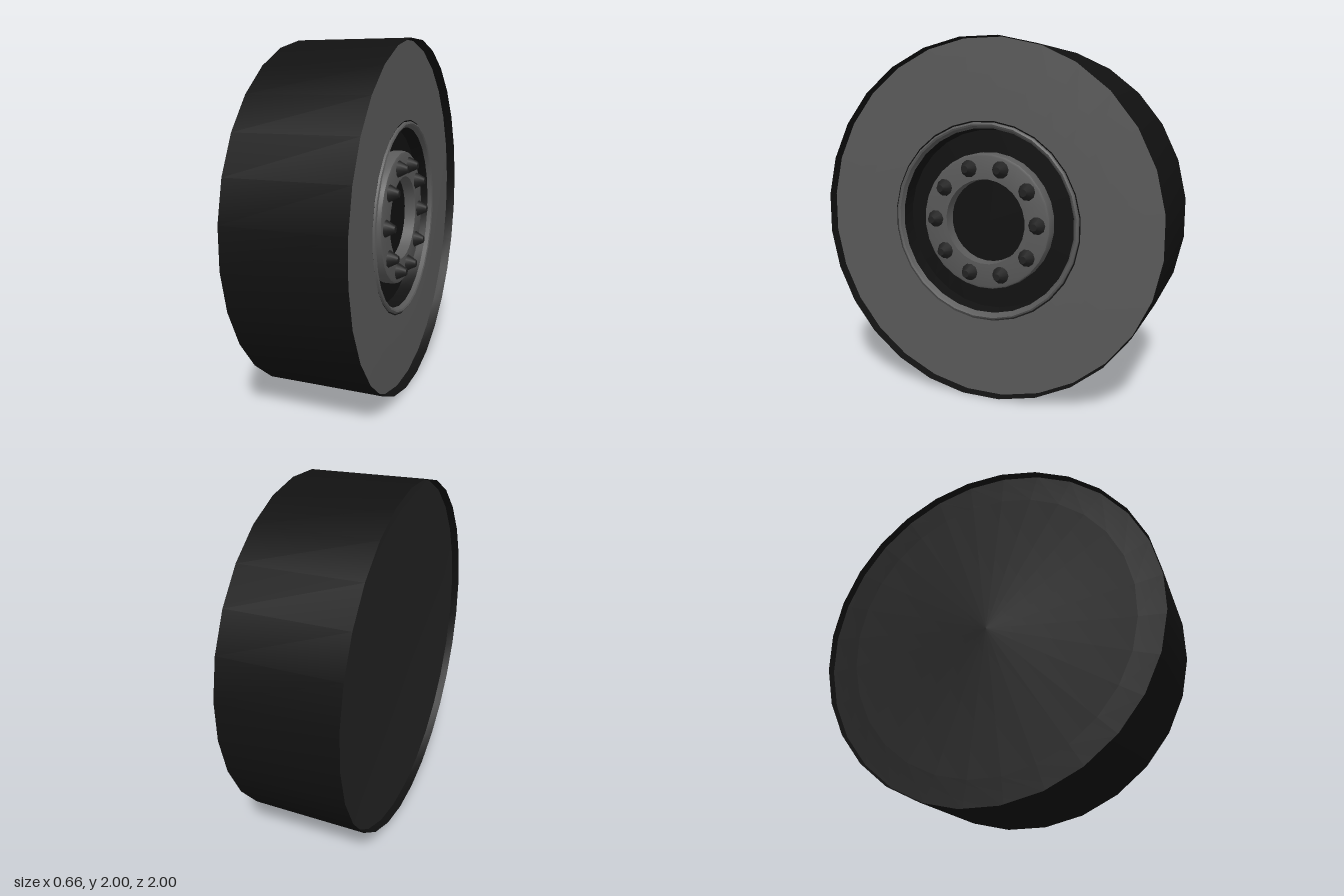
import * as THREE from 'three';
import { toCreasedNormals } from 'three/addons/utils/BufferGeometryUtils.js';

const SIDES = 28;
const BOLTS = 10;

const black = new THREE.MeshStandardMaterial({ color: 0x111111, side: THREE.DoubleSide });
const dark = new THREE.MeshStandardMaterial({ color: 0x222222, side: THREE.DoubleSide });
const grey = new THREE.MeshStandardMaterial({ color: 0x5a5a5a, side: THREE.DoubleSide });

// Revolves a profile of [radius, x] pairs around the axle
function ring(name, profile, material, sides = SIDES) {
  const points = profile.map(([r, x]) => new THREE.Vector2(r, x));
  const geometry = new THREE.LatheGeometry(points, sides, Math.PI / sides);
  geometry.rotateZ(-Math.PI / 2);
  const mesh = new THREE.Mesh(toCreasedNormals(geometry, 0.6), material);
  mesh.name = name;
  return mesh;
}

export function createModel() {
  const wheel = new THREE.Group();
  wheel.name = 'wheel';
  wheel.position.y = 1;

  // Tyre: wide tread band with both side faces set in from its edges
  const flat = Math.cos(Math.PI / SIDES);
  const R = 1 / flat;
  const inner = 0.996 / flat;
  wheel.add(
    ring('tread', [[inner, -0.275], [R, -0.33], [R, 0.33], [inner, 0.275]], black),
    ring('outerSidewall', [[inner, 0.275], [0.75, 0.28], [0.56, 0.28]], grey),
    ring('innerSidewall', [[0, -0.275], [0.85, -0.275], [inner, -0.285]], dark)
  );

  // Rim: rounded lip around a dark, sunken channel
  wheel.add(
    ring('rimGroove', [[0.562, 0.281], [0.552, 0.276]], black),
    ring('rimLip', [[0.555, 0.275], [0.552, 0.289], [0.543, 0.294], [0.533, 0.289], [0.52, 0.265]], grey),
    ring('rimChannel', [[0.52, 0.265], [0.51, 0.19], [0.385, 0.19]], black)
  );

  // Hub: raised ring with a softened edge and a dark centre
  wheel.add(
    ring('hubRing', [[0.385, 0.19], [0.385, 0.25], [0.38, 0.26], [0.368, 0.265], [0.24, 0.265], [0.235, 0.2]], grey),
    ring('hubCentre', [[0.236, 0.2], [0, 0.2]], black)
  );

  // Tapered wheel nuts spaced evenly on the hub ring
  const nutGeometry = new THREE.CylinderGeometry(0.02, 0.052, 0.06, 10);
  nutGeometry.rotateZ(-Math.PI / 2);
  for (let i = 0; i < BOLTS; i++) {
    const a = (i / BOLTS) * Math.PI * 2;
    const nut = new THREE.Mesh(nutGeometry, dark);
    nut.name = 'wheelNut';
    nut.position.set(0.29, Math.sin(a) * 0.31, Math.cos(a) * 0.31);
    wheel.add(nut);
  }

  const model = new THREE.Group();
  model.add(wheel);
  return model;
}
